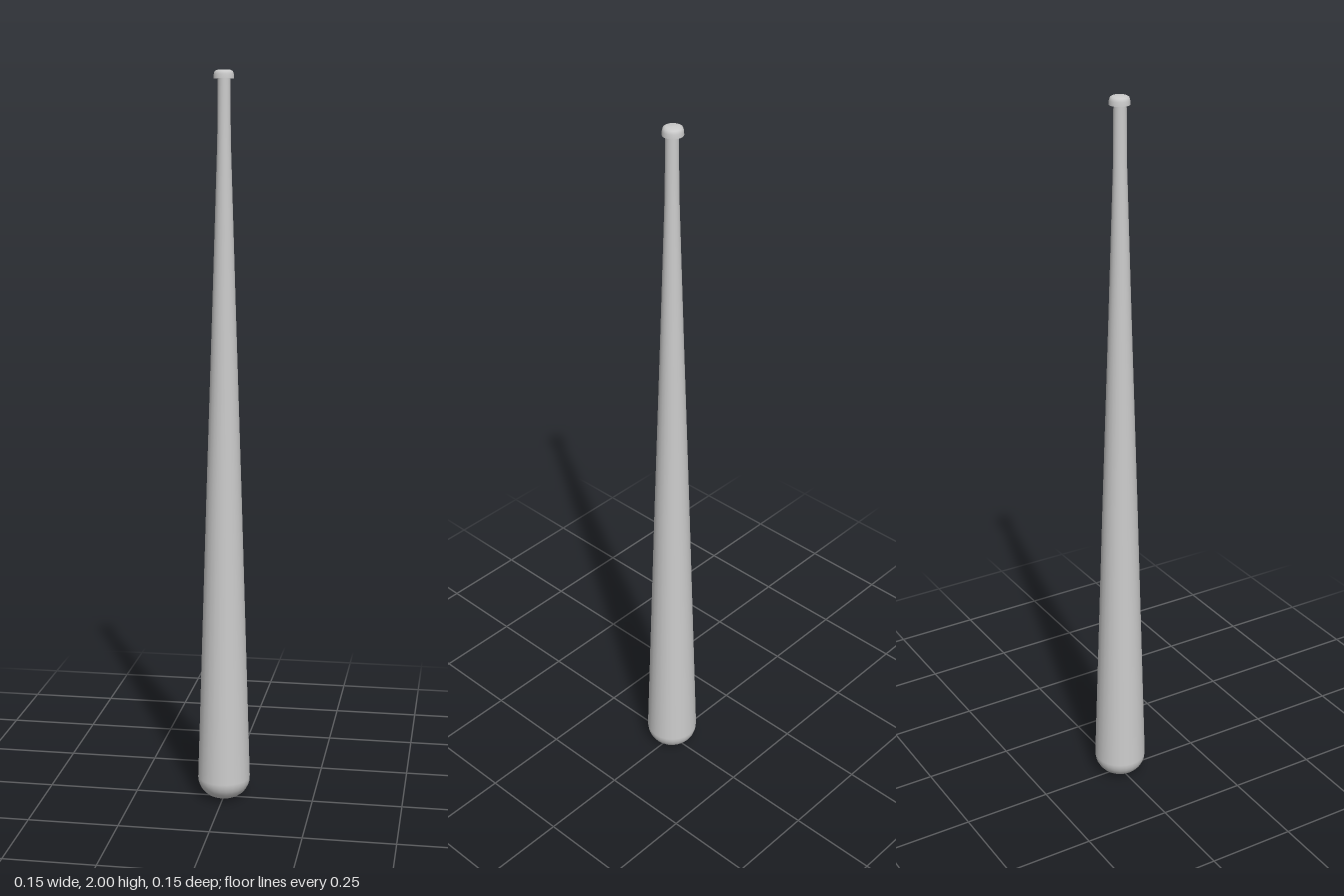
import * as THREE from 'three';

const SIDES = 24;
const material = new THREE.MeshStandardMaterial({ color: 0xcccccc });

// Turned part from [radius, height] pairs, listed from bottom to top
function turned(name, profile) {
  const points = profile.map(([r, y]) => new THREE.Vector2(r, y));
  const mesh = new THREE.Mesh(new THREE.LatheGeometry(points, SIDES), material);
  mesh.name = name;
  return mesh;
}

export function createModel() {
  const bat = new THREE.Group();
  bat.name = 'bat';

  // Rounded barrel end running into the long tapered shaft
  const profile = [];
  const steps = 8;
  for (let i = 0; i <= steps; i++) {
    const a = (i / steps) * Math.PI / 2;
    profile.push([0.073 * Math.sin(a) ** 0.85, 0.06 * (1 - Math.cos(a))]);
  }
  profile.push([0.048, 0.88], [0.031, 1.4], [0.018, 1.82], [0.0165, 1.98]);
  bat.add(turned('barrelAndHandle', profile));

  // Knob: flat underside, short rim and softly domed cap
  const knob = new THREE.Group();
  knob.name = 'knob';
  knob.add(
    turned('knobUnderside', [[0.015, 1.979], [0.027, 1.977]]),
    turned('knobCap', [[0.027, 1.977], [0.0265, 1.988], [0.024, 1.996], [0.018, 1.999], [0, 2]]),
  );
  knob.position.set(-0.001, 0, -0.002);
  bat.add(knob);

  return bat;
}
